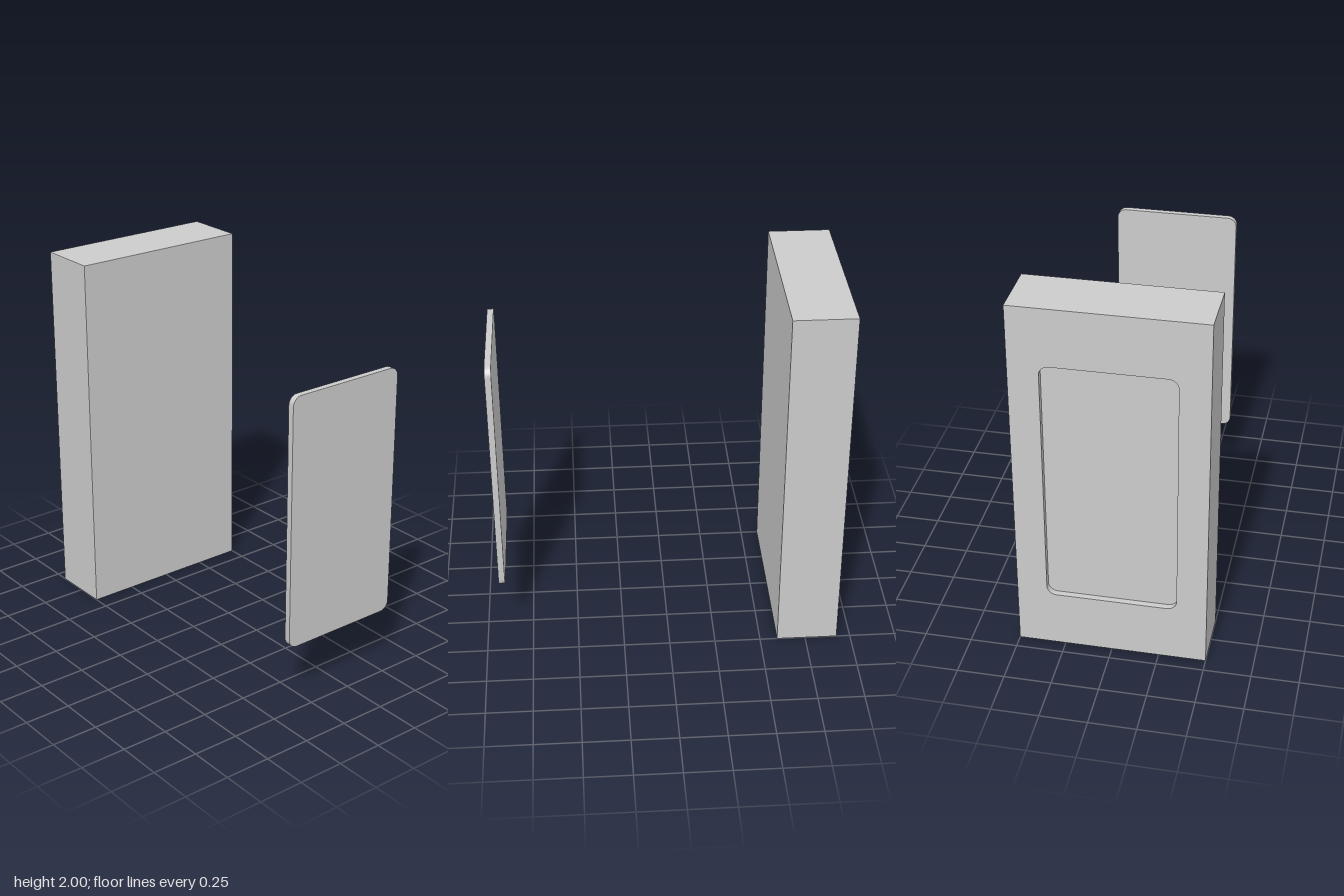
import * as THREE from 'three';
import { mergeGeometries, toCreasedNormals } from 'three/addons/utils/BufferGeometryUtils.js';

const W = 1, H = 2, BACK = -0.925, FRONT = -0.595; // block
const PW = 0.684, PH = 1.372, R = 0.05, T = 0.034; // panel, also the recess

// Rounded rectangle outline, counter-clockwise, centred on the origin
function roundedRect(w, h, r) {
  const s = new THREE.Shape();
  const x = w / 2 - r, y = h / 2 - r;
  s.absarc(x, y, r, 0, Math.PI / 2);
  s.absarc(-x, y, r, Math.PI / 2, Math.PI);
  s.absarc(-x, -y, r, Math.PI, Math.PI * 1.5);
  s.absarc(x, -y, r, Math.PI * 1.5, Math.PI * 2);
  s.closePath();
  return s;
}

// Inward-facing wall along a closed outline between two depths
function inwardWall(points, z0, z1) {
  const v = [];
  points.forEach((p, i) => {
    const q = points[(i + 1) % points.length];
    if (p.distanceTo(q) < 1e-6) return;
    v.push(p.x, p.y, z0, q.x, q.y, z1, q.x, q.y, z0);
    v.push(p.x, p.y, z0, p.x, p.y, z1, q.x, q.y, z1);
  });
  return new THREE.BufferGeometry().setAttribute('position', new THREE.Float32BufferAttribute(v, 3));
}

// Positions only, so that unlike geometries can be merged
function bare(g) {
  const out = g.index ? g.toNonIndexed() : g;
  out.deleteAttribute('uv');
  out.deleteAttribute('normal');
  out.clearGroups();
  return out;
}

export function createModel() {
  const model = new THREE.Group();
  const material = new THREE.MeshStandardMaterial({ color: 0xcccccc });
  const outline = roundedRect(PW, PH, R);

  // Block: a box without its back face, closed by a pierced back and a shallow recess
  const box = new THREE.BoxGeometry(W, H, FRONT - BACK);
  box.setIndex(Array.from(box.index.array).slice(0, 30));
  box.translate(0, 0, (FRONT + BACK) / 2);

  const backShape = new THREE.Shape([[-1, -1], [1, -1], [1, 1], [-1, 1]]
    .map(([x, y]) => new THREE.Vector2(x * W / 2, y * H / 2)));
  backShape.holes.push(outline);
  const back = new THREE.ShapeGeometry(backShape).rotateY(Math.PI).translate(0, 0, BACK);
  const floor = new THREE.ShapeGeometry(outline).rotateY(Math.PI).translate(0, 0, BACK + T);
  const wall = inwardWall(outline.getPoints(12), BACK, BACK + T);

  const blockGeometry = mergeGeometries([box, back, floor, wall].map(bare));
  const block = new THREE.Mesh(toCreasedNormals(blockGeometry, 0.6), material);
  block.name = 'recessedBlock';
  block.position.y = H / 2;
  model.add(block);

  // Loose panel, sized to the recess, floating in front
  const panelGeometry = new THREE.ExtrudeGeometry(outline, { depth: T, bevelEnabled: false, curveSegments: 12 });
  const panel = new THREE.Mesh(toCreasedNormals(panelGeometry, 0.6), material);
  panel.name = 'coverPanel';
  panel.position.set(0, H / 2, -BACK - T);
  model.add(panel);

  return model;
}
